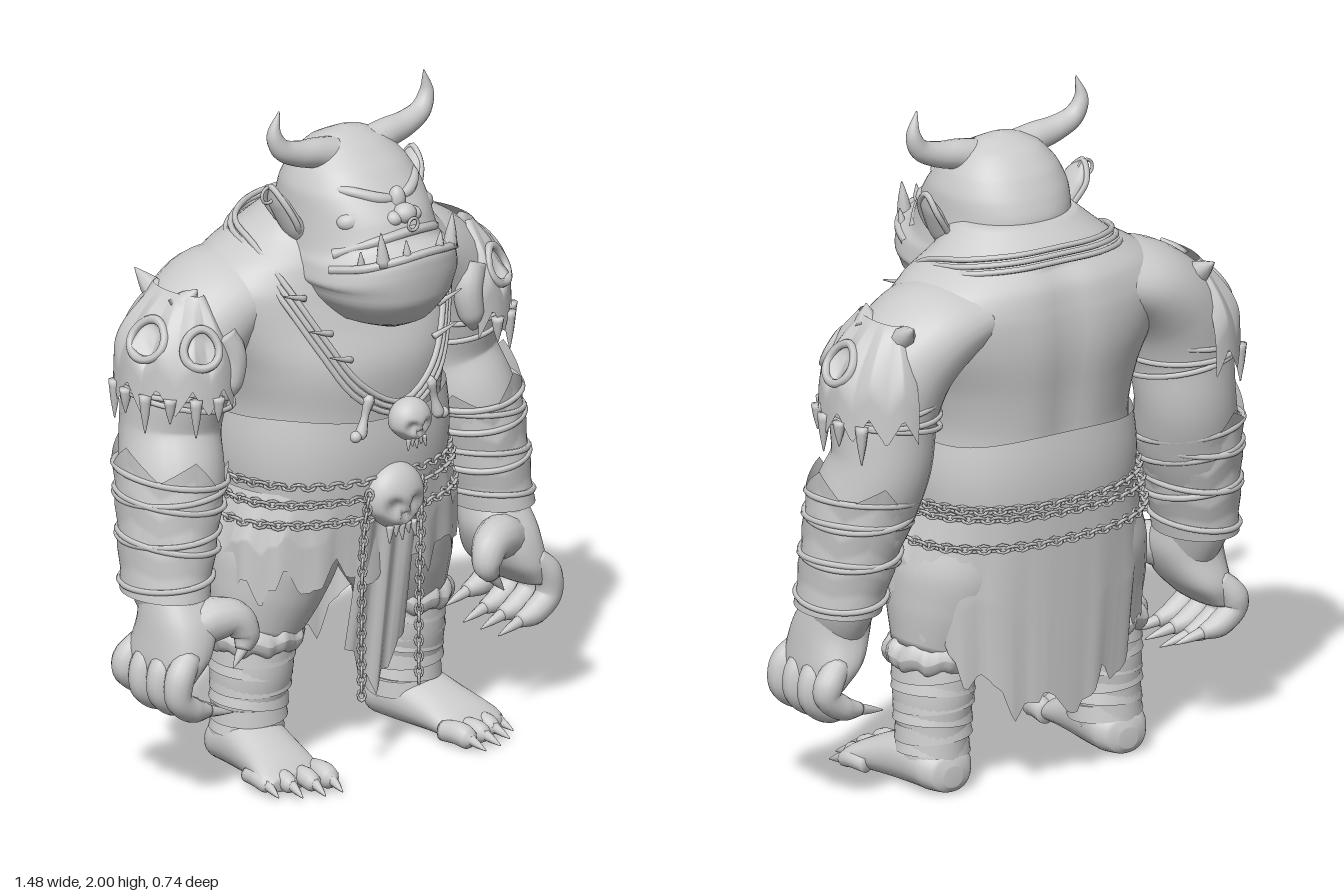
import * as THREE from 'three';
import { mergeGeometries } from 'three/addons/utils/BufferGeometryUtils.js';
import { ParametricGeometry } from 'three/addons/geometries/ParametricGeometry.js';

const V = (x, y, z) => new THREE.Vector3(x, y, z);
const UP = V(0, 1, 0), DOWN = V(0, -1, 0), FRONT = V(0, 0, 1);
const solid = new THREE.MeshStandardMaterial({ color: 0xcccccc });
const thin = new THREE.MeshStandardMaterial({ color: 0xcccccc, side: THREE.DoubleSide });
const spow = (v, n) => Math.sign(v) * Math.pow(Math.abs(v), 2 / n);
const jag = a => Math.abs(((a % 1) + 1) % 1 - 0.5) * 2; // ragged hem wave, 0..1

// Smooth skin through sections [x, y, z, halfWidth, halfDepth]; n squares the section,
// axis keeps all sections parallel instead of following the path
function loft(rows, { ref = FRONT, axis, sides = 28, n = 2, steps = 6, warp } = {}) {
  const path = new THREE.CatmullRomCurve3(rows.map(r => V(r[0], r[1], r[2])));
  const size = new THREE.CatmullRomCurve3(rows.map(r => V(r[3], r[4] ?? r[3], 0)));
  const count = (rows.length - 1) * steps, pos = [], index = [];
  for (let i = 0; i <= count; i++) {
    const c = path.getPoint(i / count), r = size.getPoint(i / count), t = axis ?? path.getTangent(i / count);
    const u = V().crossVectors(t, ref).normalize(), v = V().crossVectors(u, t);
    for (let j = 0; j < sides; j++) {
      const a = j / sides * Math.PI * 2;
      const p = c.clone().addScaledVector(u, Math.max(r.x, 0.001) * spow(Math.cos(a), n))
        .addScaledVector(v, Math.max(r.y, 0.001) * spow(Math.sin(a), n));
      if (warp) warp(p);
      pos.push(p.x, p.y, p.z);
      const k = i * sides + j, m = i * sides + (j + 1) % sides;
      if (i < count) index.push(k, k + sides, m, m, k + sides, m + sides);
    }
  }
  const last = count * sides, e = pos.length / 3;
  for (const p of [path.getPoint(0), path.getPoint(1)]) pos.push(p.x, p.y, p.z);
  for (let j = 0; j < sides; j++) {
    const m = (j + 1) % sides;
    index.push(e, j, m, e + 1, last + m, last + j);
  }
  const g = new THREE.BufferGeometry();
  g.setAttribute('position', new THREE.Float32BufferAttribute(pos, 3));
  g.setIndex(index);
  g.computeVertexNormals();
  return g;
}
const sheet = (fn, nu, nv) => new ParametricGeometry((u, v, t) => t.set(...fn(u, v)), nu, nv);
const cord = (pts, r, closed = false) =>
  new THREE.TubeGeometry(new THREE.CatmullRomCurve3(pts.map(p => V(...p)), closed), closed ? 64 : 32, r, 6, closed);
const ringPoints = (x, y, z, rx, rz, tilt = 0, n = 2) => Array.from({ length: 24 }, (_, i) => {
  const a = i / 24 * Math.PI * 2;
  return [x + rx * spow(Math.cos(a), n), y + tilt * Math.cos(a + 0.6), z + rz * spow(Math.sin(a), n)];
});
const spike = (a, b, r) => loft([[...a, r], [...a.map((v, i) => (v + b[i]) / 2), r * 0.65], [...b, 0.002]],
  { sides: 8, steps: 3, ref: V(0.31, 0.2, 0.93) });
const ball = (x, y, z, a, b = a, c = a) => new THREE.SphereGeometry(1, 20, 14).scale(a, b, c).translate(x, y, z);

// Interlocking links along a curve
function chain(pts, closed, size = 0.013) {
  const curve = new THREE.CatmullRomCurve3(pts.map(p => V(...p)), closed);
  const count = Math.round(curve.getLength() / (size * 1.9)), links = [];
  for (let i = 0; i < count; i++) {
    const g = new THREE.TorusGeometry(size, size * 0.36, 4, 8).scale(1.25, 0.9, 1);
    g.rotateX(i % 2 ? 0.8 : -0.8);
    g.applyQuaternion(new THREE.Quaternion().setFromUnitVectors(V(1, 0, 0), curve.getTangentAt(i / count)));
    const p = curve.getPointAt(i / count);
    links.push(g.translate(p.x, p.y, p.z));
  }
  return mergeGeometries(links);
}

// Skull with pressed-in eyes and nose and a narrow toothed jaw
function skull(x, y, z, w, h, d) {
  const g = new THREE.SphereGeometry(1, 40, 30), p = g.attributes.position, v = V();
  const dents = [[V(0.42, -0.2, 0.88), 0.3], [V(-0.42, -0.2, 0.88), 0.3], [V(0, -0.55, 0.83), 0.17]];
  for (let i = 0; i < p.count; i++) {
    v.fromBufferAttribute(p, i);
    let s = 1;
    for (const [c, r] of dents) s -= 0.3 * Math.exp(-((v.distanceTo(c) / r) ** 4));
    if (v.y < -0.3) v.x *= 1 + (v.y + 0.3) * 0.45;
    p.setXYZ(i, v.x * s * w, v.y * s * h, v.z * s * d);
  }
  g.computeVertexNormals();
  g.deleteAttribute('uv');
  const parts = [g];
  for (let i = -2; i <= 2; i++)
    parts.push(spike([i * w * 0.22, -h * 0.75, d * 0.5], [i * w * 0.25, -h * (i % 2 ? 1.1 : 1.25), d * 0.55], w * 0.13));
  return mergeGeometries(parts).translate(x, y, z);
}

function flipped(g) {
  const m = g.clone().applyMatrix4(new THREE.Matrix4().makeScale(-1, 1, 1)), a = m.index.array;
  for (let i = 0; i < a.length; i += 3) [a[i], a[i + 1]] = [a[i + 1], a[i]];
  return m;
}

// Point on the shoulder guard: a is the angle round the arm, v runs from ridge to hem
const sockets = [[1.2, 0.45], [0.1, 0.42]];
function guardPoint(a, v, drop = 0.29, out = 0) {
  let r = 0.24 + 0.76 * Math.sin(Math.min(1, v * 1.35) * Math.PI / 2) + out;
  for (const [sa, sv] of sockets) r -= 0.16 * Math.exp(-((((a - sa) / 0.32) ** 2 + ((v - sv) / 0.16) ** 2) ** 2));
  return [0.505 + 0.01 * v + 0.162 * r * Math.cos(a), 1.475 - drop * v, -0.14 + 0.2 * (0.35 + 0.65 * r) * Math.sin(a)];
}

export function createModel() {
  const model = new THREE.Group();
  const add = (name, g, mat = solid) => {
    const m = new THREE.Mesh(g, mat);
    m.name = name;
    model.add(m);
  };
  const pair = (name, g, mat) => { add(name + 'Left', g, mat); add(name + 'Right', flipped(g), mat); };

  // Torso with a groove along the spine
  add('torso', loft([[0, 0.72, -0.07, 0.33, 0.23], [0, 0.9, -0.07, 0.34, 0.26], [0, 1.08, -0.065, 0.335, 0.272],
    [0, 1.22, -0.07, 0.365, 0.285], [0, 1.35, -0.1, 0.42, 0.27], [0, 1.45, -0.115, 0.45, 0.25], [0, 1.53, -0.115, 0.385, 0.23],
    [0, 1.6, -0.1, 0.27, 0.185], [0, 1.68, -0.06, 0.18, 0.14]], { axis: UP, sides: 64, n: 2.2,
    warp: p => { if (p.z < -0.1 && p.y > 0.9 && p.y < 1.58) p.z += 0.02 * Math.exp(-((p.x / 0.06) ** 2)); } }));

  // Head with a jutting lower jaw; rows are height, front, back, half width
  const headRows = [[1.345, 0.24, 0.06, 0.05], [1.375, 0.305, -0.03, 0.13], [1.45, 0.36, -0.1, 0.2], [1.54, 0.372, -0.15, 0.228],
    [1.595, 0.365, -0.18, 0.222], [1.62, 0.305, -0.19, 0.212], [1.68, 0.272, -0.2, 0.2], [1.74, 0.225, -0.18, 0.192],
    [1.8, 0.17, -0.145, 0.165], [1.855, 0.1, -0.09, 0.115], [1.883, 0.045, -0.03, 0.055], [1.892, 0.015, 0, 0.005]];
  add('head', loft(headRows.map(([y, f, b, w]) => [0, y, (f + b) / 2, w, (f - b) / 2]), { axis: UP, sides: 56, n: 2.2,
    warp: p => { if (p.y > 1.48 && p.y < 1.7) p.y -= p.x * p.x * Math.sin((p.y - 1.48) / 0.22 * Math.PI); } }));
  add('lowerLip', cord([[-0.21, 1.545, 0.18], [-0.17, 1.565, 0.28], [-0.09, 1.588, 0.343], [0, 1.598, 0.36],
    [0.09, 1.588, 0.343], [0.17, 1.565, 0.28], [0.21, 1.545, 0.18]], 0.013));
  add('upperLip', cord([[-0.19, 1.585, 0.17], [-0.1, 1.628, 0.26], [0, 1.642, 0.285], [0.1, 1.628, 0.26], [0.19, 1.585, 0.17]], 0.016));
  add('nose', ball(0, 1.692, 0.262, 0.036, 0.03, 0.034));
  add('noseBridge', ball(0, 1.725, 0.228, 0.026, 0.04, 0.025));
  add('noseRing', new THREE.TorusGeometry(0.018, 0.005, 6, 18).translate(0, 1.668, 0.3));
  pair('nostril', ball(0.036, 1.682, 0.256, 0.025, 0.022, 0.026));
  pair('brow', loft([[0.005, 1.725, 0.226, 0.012], [0.06, 1.738, 0.212, 0.017], [0.12, 1.757, 0.163, 0.015], [0.16, 1.76, 0.09, 0.005]],
    { sides: 12, ref: UP }));
  pair('eye', ball(0.075, 1.715, 0.216, 0.02, 0.009, 0.012));
  pair('cheek', ball(0.115, 1.675, 0.175, 0.06, 0.035, 0.04));
  pair('tusk', spike([0.125, 1.575, 0.315], [0.135, 1.675, 0.315], 0.023));
  pair('tooth', spike([0.06, 1.585, 0.345], [0.065, 1.645, 0.345], 0.016));
  pair('smallTooth', spike([0.165, 1.56, 0.265], [0.172, 1.615, 0.27], 0.014));
  pair('horn', loft([[0.07, 1.825, 0.03, 0.052], [0.13, 1.842, 0.03, 0.045], [0.2, 1.855, 0.03, 0.038], [0.262, 1.882, 0.028, 0.031],
    [0.287, 1.93, 0.025, 0.022], [0.273, 2, 0.03, 0.002]], { sides: 18 }));
  pair('ear', loft([[0.18, 1.58, 0.02, 0.015, 0.025], [0.21, 1.64, 0.01, 0.025, 0.05], [0.245, 1.71, -0.005, 0.018, 0.048],
    [0.268, 1.765, -0.02, 0.002]], { sides: 14 }));
  pair('earRim', cord([[0.195, 1.6, 0.03], [0.225, 1.65, 0.055], [0.258, 1.72, 0.035], [0.268, 1.76, -0.015], [0.256, 1.71, -0.05], [0.205, 1.63, -0.04]], 0.009));
  add('earring', new THREE.TorusGeometry(0.024, 0.005, 6, 18).translate(-0.275, 1.735, -0.015));

  // Arms, hands and claws
  pair('arm', loft([[0.24, 1.455, -0.14, 0.1, 0.19], [0.36, 1.415, -0.15, 0.132, 0.195], [0.455, 1.325, -0.15, 0.15, 0.183],
    [0.503, 1.2, -0.15, 0.152, 0.167], [0.52, 1.05, -0.16, 0.145, 0.15], [0.55, 0.92, -0.12, 0.148, 0.16], [0.595, 0.75, -0.09, 0.125, 0.145],
    [0.605, 0.62, -0.07, 0.1, 0.125], [0.6, 0.52, -0.04, 0.075, 0.1]]));
  pair('palm', loft([[0.6, 0.62, -0.06, 0.09, 0.09], [0.605, 0.53, -0.03, 0.1, 0.12], [0.63, 0.44, -0.03, 0.085, 0.142],
    [0.665, 0.37, -0.03, 0.05, 0.13]], { axis: DOWN, n: 2.4 }));
  for (let i = 0; i < 4; i++) {
    const z = 0.083 - i * 0.077, dy = i === 3 ? 0.03 : 0;
    pair('finger' + i, loft([[0.645, 0.45, z * 0.9, 0.035], [0.692, 0.395, z, 0.043], [0.696, 0.33 + dy, z, 0.04],
      [0.645, 0.287 + dy, z, 0.037], [0.585, 0.272 + dy, z, 0.02]], { sides: 14 }));
    pair('fingerClaw' + i, spike([0.6, 0.275 + dy, z], [0.5, 0.25 + dy, z + 0.01], 0.02));
  }
  pair('thumb', loft([[0.61, 0.5, 0.01, 0.07], [0.54, 0.53, 0.05, 0.065], [0.48, 0.525, 0.08, 0.053], [0.455, 0.475, 0.095, 0.042], [0.47, 0.435, 0.1, 0.022]], { sides: 14 }));
  pair('thumbClaw', spike([0.465, 0.445, 0.1], [0.51, 0.39, 0.105], 0.02));

  // Ragged bracers bound with cords
  pair('bracer', sheet((u, v) => {
    const a = u * Math.PI * 2, r = 1 + 0.04 * jag(v * 3);
    const y = 0.6 + v * (0.32 + 0.08 * jag(u * 5) + 0.04 * Math.cos(a));
    const t = (y - 0.6) / 0.4;
    return [0.612 - 0.065 * t + (0.113 + 0.046 * t) * r * Math.cos(a), y, -0.075 - 0.05 * t + (0.14 + 0.032 * t) * r * Math.sin(a)];
  }, 60, 18), thin);
  [0.64, 0.75, 0.77, 0.87, 0.89, 0.94].forEach((y, i) => {
    const t = (y - 0.6) / 0.4;
    pair('bracerCord' + i, cord(ringPoints(0.61 - 0.065 * t, y, -0.075 - 0.05 * t, 0.118 + 0.046 * t, 0.145 + 0.032 * t, i % 2 ? 0.022 : -0.015), 0.009, true));
  });

  // Beast-skull shoulder guards with pressed-in sockets, rims and fangs
  pair('shoulderGuard', sheet((u, v) => guardPoint(-1.6 + u * 3.5, v, 0.25 + 0.08 * jag(u * 6)), 64, 28), thin);
  sockets.forEach(([sa, sv], s) => pair('guardSocketRim' + s, cord(Array.from({ length: 12 }, (_, i) => {
    const a = i / 6 * Math.PI;
    return guardPoint(sa + 0.36 * Math.cos(a), sv + 0.18 * Math.sin(a), 0.29, 0.03);
  }), 0.013, true)));
  pair('guardCrest', spike([0.5, 1.42, -0.22], [0.515, 1.49, -0.32], 0.045));
  pair('guardBrow', spike([0.53, 1.43, -0.1], [0.505, 1.49, -0.06], 0.045));
  pair('guardSnout', loft([[0.47, 1.36, 0, 0.05], [0.445, 1.3, 0.02, 0.045], [0.455, 1.22, 0.025, 0.038], [0.47, 1.17, 0.02, 0.012]], { sides: 14 }));
  for (let i = 0; i < 6; i++) {
    const a = 1.5 - i * 0.42;
    pair('guardFang' + i, spike(guardPoint(a, 0.95), guardPoint(a, 1, 0.35 + (i % 2) * 0.04), 0.02));
  }
  [1.16, 1.19, 1.24].forEach((y, i) =>
    pair('armCord' + i, cord(ringPoints(0.507, y, -0.15, 0.16, 0.172, 0.03 - i * 0.025), 0.008, true)));

  // Shorts, fur cuffs, wrapped calves and clawed feet
  pair('shortsLeg', loft([[0.18, 0.8, -0.07, 0.17, 0.21], [0.215, 0.65, -0.07, 0.19, 0.21], [0.25, 0.52, -0.07, 0.165, 0.175], [0.28, 0.41, -0.07, 0.125, 0.13]]));
  const fur = new THREE.TorusGeometry(0.106, 0.038, 14, 72).rotateX(Math.PI / 2), fp = fur.attributes.position;
  for (let i = 0; i < fp.count; i++) {
    const a = Math.atan2(fp.getZ(i), fp.getX(i)), k = 1 + 0.03 * Math.sin(a * 13) + 0.02 * Math.sin(a * 22);
    fp.setXYZ(i, fp.getX(i) * k, fp.getY(i) * 1.15 + 0.007 * Math.sin(a * 9), fp.getZ(i) * k);
  }
  fur.computeVertexNormals();
  pair('furCuff', fur.translate(0.28, 0.405, -0.07));
  pair('calf', loft([[0.28, 0.42, -0.07, 0.115, 0.12], [0.285, 0.3, -0.075, 0.118, 0.122], [0.295, 0.18, -0.085, 0.102, 0.107], [0.302, 0.07, -0.1, 0.095, 0.098]], { axis: DOWN }));
  for (let i = 0; i < 6; i++) {
    const r = 0.122 - i * 0.003;
    pair('calfWrap' + i, new THREE.CylinderGeometry(r - 0.004, r + 0.003, 0.048, 32, 1)
      .rotateZ(i % 2 ? 0.08 : -0.06).rotateX(0.05).translate(0.284 + i * 0.002, 0.36 - i * 0.046, -0.074 - i * 0.002));
  }
  pair('foot', loft([[0.3, 0.055, -0.203, 0.03, 0.03], [0.3, 0.062, -0.19, 0.065, 0.055], [0.3, 0.073, -0.15, 0.092, 0.07], [0.307, 0.083, -0.06, 0.1, 0.082],
    [0.325, 0.064, 0.06, 0.103, 0.063], [0.342, 0.042, 0.15, 0.11, 0.041], [0.345, 0.03, 0.19, 0.09, 0.022]], { ref: UP, axis: FRONT, n: 2.2 }));
  [[0.258, 0.235, 0.034], [0.318, 0.23, 0.029], [0.378, 0.2, 0.028], [0.43, 0.155, 0.026]].forEach(([x, z, r], i) => {
    pair('toe' + i, loft([[x - 0.01, 0.036, z - 0.09, r * 0.9], [x, 0.04, z - 0.03, r], [x + 0.003, 0.032, z + 0.005, r * 0.9], [x + 0.004, 0.03, z + 0.028, 0.008]],
      { ref: UP, sides: 14 }));
    pair('toeClaw' + i, spike([x + 0.003, 0.034, z + 0.01], [x + 0.012, 0.012, z + 0.07], 0.017));
  });

  // Waist wrap, ragged kilt (long at the back) and front loincloth
  add('waistWrap', sheet((u, v) => {
    const a = u * Math.PI * 2, k = 1.02 + 0.03 * Math.sin(v * Math.PI);
    return [0.34 * k * spow(Math.cos(a), 2.3), 0.84 + v * (0.235 + 0.012 * Math.sin(a * 3)), -0.065 + 0.272 * k * spow(Math.sin(a), 2.3)];
  }, 72, 10), thin);
  add('kilt', sheet((u, v) => {
    const a = u * Math.PI * 2, s = Math.sin(a), back = Math.max(0, -s);
    const hem = 0.56 + 0.04 * Math.max(0, s) - 0.31 * Math.pow(back, 1.4) + 0.09 * (jag(u * 13) - 0.5) + 0.04 * (jag(u * 29) - 0.5);
    const y = 0.86 + (hem - 0.86) * v, flare = Math.min(1, v * 2), fold = 1 + 0.015 * v * Math.sin(a * 16);
    return [(0.355 + 0.05 * flare - 0.06 * v * back) * fold * spow(Math.cos(a), 2.4), y,
      -0.07 + (s > 0 ? 0.262 - 0.015 * v : 0.265 - 0.03 * v) * fold * spow(s, 2.4)];
  }, 156, 20), thin);
  add('loincloth', sheet((u, v) => {
    const s = u * 2 - 1, hem = 0.2 + 0.16 * Math.abs(s) ** 1.3 + 0.04 * jag(u * 4 + 0.5);
    return [s * (0.1 + 0.012 * v), 0.85 + (hem - 0.85) * v, 0.215 - 0.085 * v + 0.008 * Math.cos(s * 8)];
  }, 40, 16), thin);

  // Belt chains, hanging chains and belt skull
  [0.885, 0.845, 0.77].forEach((y, i) => add('beltChain' + i,
    chain(ringPoints(0, y, -0.07, 0.362 + i * 0.012, 0.283, i === 1 ? 0.01 : -0.006, 2.3), true, 0.0145)));
  pair('hangingChain', chain([[0.1, 0.85, 0.225], [0.108, 0.72, 0.21], [0.108, 0.45, 0.2], [0.108, 0.215, 0.2]], false, 0.0125));
  add('beltSkull', skull(0, 0.825, 0.215, 0.098, 0.1, 0.07));

  // Necklace cords with a skull, bones and thorns
  for (let i = 0; i < 3; i++) {
    const d = i * 0.018;
    const half = [[0.13, 1.625, -0.275], [0.25, 1.61, -0.19], [0.295, 1.58, -0.06], [0.285, 1.48, 0.08], [0.225, 1.34, 0.165], [0.13, 1.19, 0.225]]
      .map(([x, y, z]) => [x + d * 0.5, y - d, z + (z < -0.1 ? -0.5 * d : 0.004)]);
    const pts = [...half, [0, 1.12 - d, 0.25], ...half.map(([x, y, z]) => [-x, y, z]).reverse(), [0, 1.63 - d, -0.292 - d * 0.5]];
    add('necklaceCord' + i, cord(pts, 0.009, true));
  }
  [[0.28, 1.46, 0.1], [0.235, 1.36, 0.165], [0.19, 1.28, 0.2]].forEach(([x, y, z], i) =>
    pair('necklaceThorn' + i, spike([x - 0.035, y - 0.012, z + 0.01], [x + 0.05, y + 0.015, z + 0.015], 0.01)));
  add('chestSkull', skull(0, 1.075, 0.285, 0.066, 0.065, 0.058));
  pair('necklaceBone', loft([[0.11, 1.16, 0.24, 0.012], [0.117, 1.145, 0.24, 0.018], [0.13, 1.1, 0.24, 0.011], [0.145, 1.05, 0.24, 0.018], [0.15, 1.035, 0.24, 0.01]], { sides: 10 }));
  pair('boneKnob', ball(0.165, 1.045, 0.24, 0.017));
  return model;
}
